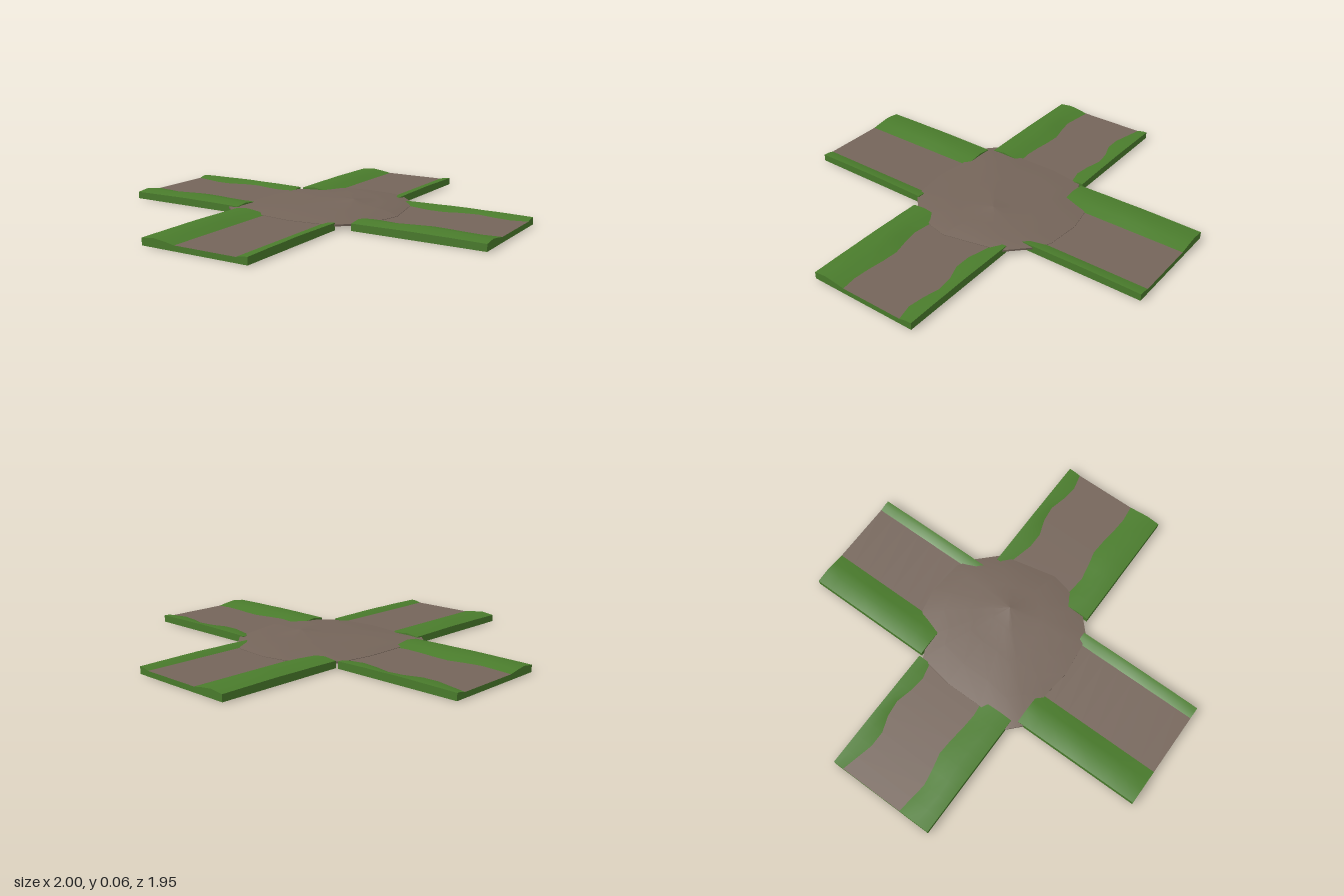
import * as THREE from 'three';

const grass = new THREE.MeshStandardMaterial({ color: 0x4a7c2c });
grass.name = 'grass green';
const dirt = new THREE.MeshStandardMaterial({ color: 0x75655a });
dirt.name = 'dirt brown';

// Surface from f(i, j) -> [x, y, z]; its front faces (i direction) x (j direction).
function sheet(name, material, ni, nj, f) {
  const pos = [], index = [];
  for (let j = 0; j <= nj; j++) for (let i = 0; i <= ni; i++) pos.push(...f(i, j));
  for (let j = 0; j < nj; j++) for (let i = 0; i < ni; i++) {
    const a = j * (ni + 1) + i, b = a + 1, d = a + ni + 1, c = d + 1;
    index.push(a, b, c, a, c, d);
  }
  const g = new THREE.BufferGeometry();
  g.setAttribute('position', new THREE.Float32BufferAttribute(pos, 3));
  g.setIndex(index);
  g.computeVertexNormals();
  const m = new THREE.Mesh(g, material);
  m.name = name;
  return m;
}

// Uneven bank tops and path edges, repeated on each arm
const BUMP = [0, 0.003, 0.005, 0.008, 0.009, 0.006, 0.006, 0.003, 0];
const NARROW = [-0.02, 0, 0.02, 0.02, -0.01, -0.02, 0, 0.01, -0.01];
const WIDE = [0, 0.01, 0.02, 0.005, -0.015, -0.01, 0, 0.005, -0.005];
const N = BUMP.length - 1;

// One road arm: u runs across it (wide bank at +u), v along it.
function arm(name, place, u0, e0, e1, u1, v0, v1, wave) {
  const group = new THREE.Group();
  group.name = name;
  const v = j => v0 + (v1 - v0) * j / N;
  // Cross-section: narrow bank, path, wide bank
  const section = j => {
    const a = e0 + wave * NARROW[j], b = e1 + wave * WIDE[j], h = BUMP[j];
    return [
      [u0, 0.036 + h * 0.5], [u0 + (a - u0) * 0.45, 0.035 + h * 0.5], [a, 0.027],
      [b, 0.027], [b + (u1 - b) * 0.3, 0.036 + h * 0.6],
      [b + (u1 - b) * 0.62, 0.043 + h], [u1, 0.035 + h * 0.4],
    ];
  };
  const top = (k, j) => { const [u, y] = section(j)[k]; return place(u, y, v(j)); };
  const foot = (k, j) => place(section(j)[k][0], 0, v(j));
  const wall = (k, j, t) => (t ? top(k, j) : foot(k, j));
  group.add(
    sheet('narrowBank', grass, 2, N, (i, j) => top(i, j)),
    sheet('path', dirt, 1, N, (i, j) => top(2 + i, j)),
    sheet('wideBank', grass, 3, N, (i, j) => top(3 + i, j)),
    sheet('wideSide', grass, N, 1, (i, t) => wall(6, i, t)),
    sheet('narrowSide', grass, 1, N, (t, j) => wall(0, j, t)),
    sheet('farEnd', grass, 1, 6, (t, k) => wall(k, N, t)),
    sheet('nearEnd', grass, 6, 1, (k, t) => wall(k, 0, t)),
    sheet('underside', grass, 1, 1, (i, j) => place(j ? u1 : u0, 0, i ? v1 : v0)),
  );
  return group;
}

// Outline of the crossing, running clockwise from the right as seen from above
const RIM = [
  [0.43, 0], [0.41, 0.09], [0.37, 0.18], [0.345, 0.23], [0.26, 0.31], [0.2, 0.33],
  [0.03, 0.35], [-0.13, 0.33], [-0.31, 0.34], [-0.385, 0.27], [-0.36, 0.1],
  [-0.36, -0.1], [-0.33, -0.28], [-0.22, -0.33], [-0.13, -0.44], [0, -0.465],
  [0.18, -0.45], [0.26, -0.4], [0.365, -0.295], [0.4, -0.14],
];

// Low mound of dirt joining the arms
function crossing() {
  const group = new THREE.Group();
  group.name = 'crossing';
  const peak = [0.14, -0.08], n = RIM.length;
  const rings = [[0, 0.065], [0.2, 0.054], [0.45, 0.048], [0.75, 0.042], [1, 0.029]];
  const ring = (i, t, y) => {
    const [x, z] = RIM[i % n];
    return [peak[0] + (x - peak[0]) * t, y, peak[1] + (z - peak[1]) * t];
  };
  group.add(
    sheet('mound', dirt, rings.length - 1, n, (r, i) => ring(n - i, ...rings[r])),
    sheet('moundEdge', dirt, 1, n, (t, i) => ring(i, 1, t ? 0.029 : 0.02)),
    sheet('moundUnderside', dirt, 1, n, (t, i) => ring(i, t, 0.02)),
  );
  return group;
}

export function createModel() {
  const model = new THREE.Group();
  model.name = 'crossroads';
  const alongX = (u, y, v) => [v, y, u];
  const alongZ = (u, y, v) => [-u, y, v];
  model.add(
    arm('leftArm', alongX, -0.3, -0.225, 0.1, 0.27, 0.33, 1, 1),
    arm('rightArm', alongX, -0.3, -0.225, 0.1, 0.27, -1, -0.33, 1),
    arm('frontArm', alongZ, -0.26, -0.2, 0.13, 0.315, 0.3, 0.975, 0),
    arm('backArm', alongZ, -0.26, -0.2, 0.13, 0.315, -0.975, -0.3, 0),
    crossing(),
  );
  // The mound's closing faces are viewed from either side at the open corners
  dirt.side = THREE.DoubleSide;
  return model;
}
